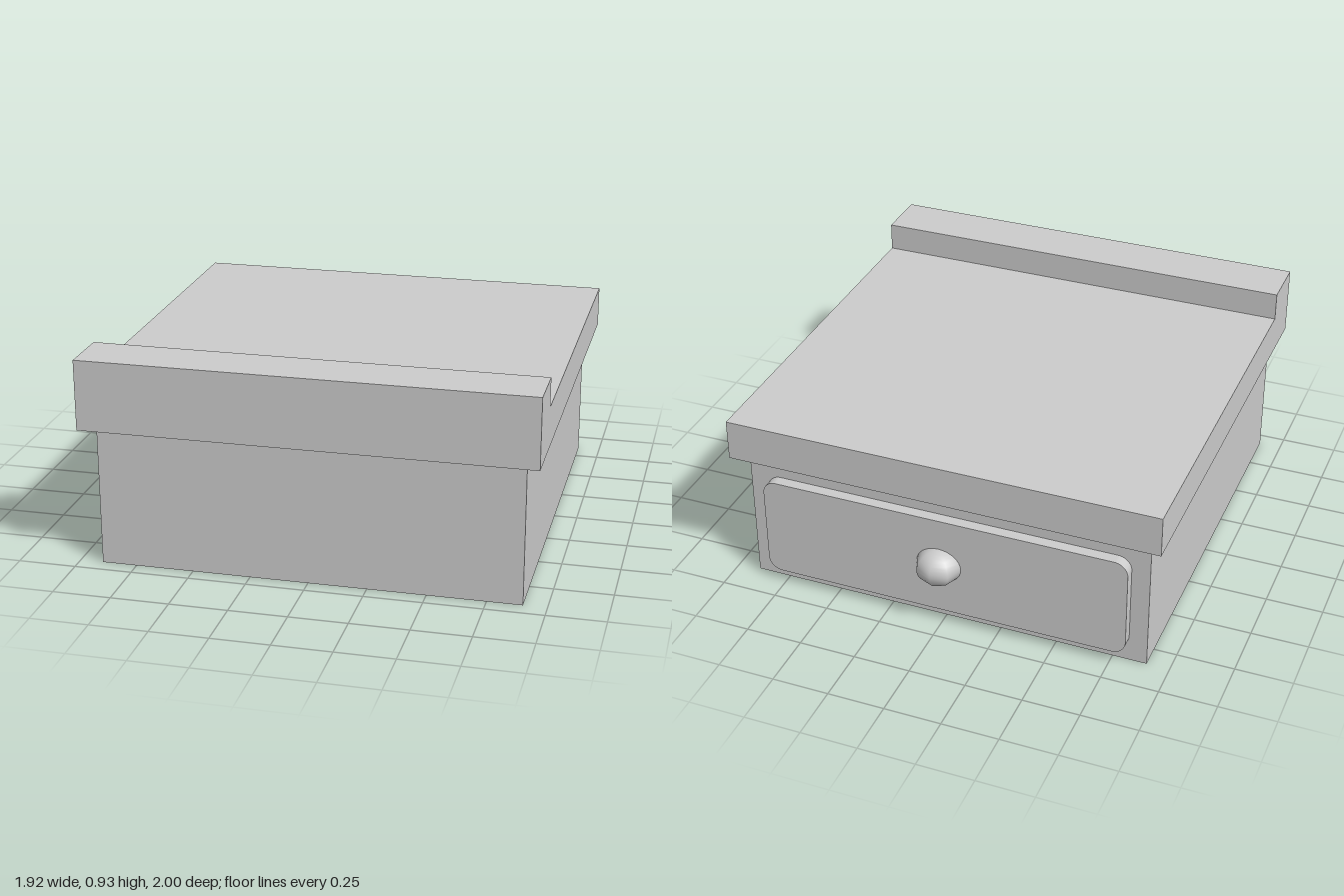
import * as THREE from 'three';
import { toCreasedNormals } from 'three/addons/utils/BufferGeometryUtils.js';

const grey = new THREE.MeshStandardMaterial({ color: 0xcccccc });
const greyThin = new THREE.MeshStandardMaterial({ color: 0xcccccc, side: THREE.DoubleSide });

function roundedRect(w, h, r) {
  const x = w / 2, y = h / 2, s = new THREE.Shape();
  s.absarc(x - r, y - r, r, 0, Math.PI / 2);
  s.absarc(-x + r, y - r, r, Math.PI / 2, Math.PI);
  s.absarc(-x + r, -y + r, r, Math.PI, Math.PI * 1.5);
  s.absarc(x - r, -y + r, r, Math.PI * 1.5, Math.PI * 2);
  s.closePath();
  return s;
}

export function createModel() {
  const group = new THREE.Group();
  const add = (name, geometry, material = grey) => {
    const mesh = new THREE.Mesh(geometry, material);
    mesh.name = name;
    group.add(mesh);
    return mesh;
  };

  // Thin-walled body, open underneath: a four-sided open tube scaled to size
  const walls = new THREE.CylinderGeometry(Math.SQRT1_2, Math.SQRT1_2, 0.62, 4, 1, true);
  walls.rotateY(Math.PI / 4).scale(1.8, 1, 1.78).translate(0, 0.31, 0.04);
  add('body', toCreasedNormals(walls, 0.5), greyThin);

  // Overhanging top with a raised ledge along the front, profile drawn as (z, y)
  const profile = new THREE.Shape([
    [-0.92, 0.62], [1, 0.62], [1, 0.925], [0.76, 0.925], [0.76, 0.8], [-0.92, 0.8],
  ].map(([z, y]) => new THREE.Vector2(z, y)));
  const top = new THREE.ExtrudeGeometry(profile, { depth: 1.92, bevelEnabled: false });
  add('top', top.rotateY(-Math.PI / 2).translate(0.96, 0, 0));

  // Drawer front with rounded corners on the back face
  const drawer = new THREE.ExtrudeGeometry(roundedRect(1.64, 0.46, 0.06), {
    depth: 0.055, bevelEnabled: false, curveSegments: 8,
  });
  add('drawerFront', toCreasedNormals(drawer, 0.6)).position.set(0, 0.293, -0.9);

  // Half-round knob, coarse around and fine from top to bottom
  const knob = new THREE.SphereGeometry(0.1, 4, 16, Math.PI, Math.PI);
  knob.scale(1, 0.83, 1);
  add('drawerKnob', knob).position.set(0.01, 0.297, -0.9);

  return group;
}
